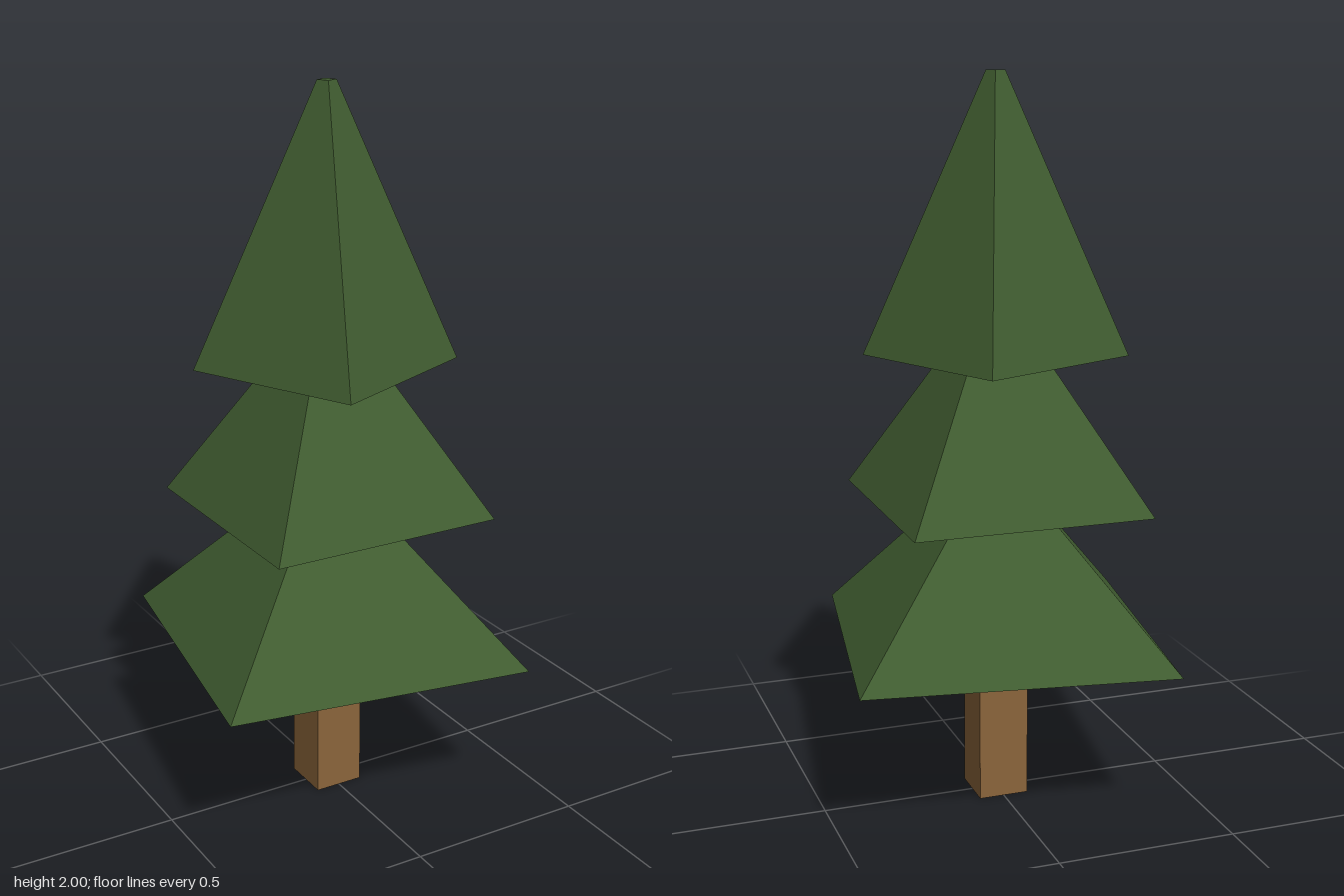
import * as THREE from 'three';

// Four corners of a horizontal square, counter-clockwise from above
function ring(y, radius, degrees) {
  return [0, 1, 2, 3].map((i) => {
    const a = THREE.MathUtils.degToRad(degrees + i * 90);
    return new THREE.Vector3(radius * Math.cos(a), y, -radius * Math.sin(a));
  });
}

// Faceted skin through a sequence of rings
function loft(rings, capStart, capEnd) {
  const points = [];
  for (let k = 0; k < rings.length - 1; k++) {
    const a = rings[k], b = rings[k + 1];
    for (let i = 0; i < 4; i++) {
      const j = (i + 1) % 4;
      points.push(a[i], a[j], b[j], a[i], b[j], b[i]);
    }
  }
  if (capStart) {
    const c = rings[0];
    points.push(c[0], c[2], c[1], c[0], c[3], c[2]);
  }
  if (capEnd) {
    const c = rings[rings.length - 1];
    points.push(c[0], c[1], c[2], c[0], c[2], c[3]);
  }
  const geometry = new THREE.BufferGeometry().setFromPoints(points);
  geometry.computeVertexNormals();
  return geometry;
}

export function createModel() {
  const tree = new THREE.Group();
  tree.name = 'pineTree';
  const foliage = new THREE.MeshStandardMaterial({ color: 0x405c30, flatShading: true });
  foliage.name = 'foliageGreen';
  const bark = new THREE.MeshStandardMaterial({ color: 0x8b653b, flatShading: true });
  bark.name = 'barkBrown';

  const add = (name, geometry, material) => {
    const mesh = new THREE.Mesh(geometry, material);
    mesh.name = name;
    tree.add(mesh);
  };

  // Square trunk, rising into the hollow of the lowest tier
  const trunkTop = ring(0.57, 0.099, 45);
  add('trunk', loft([ring(0, 0.099, 45), trunkTop], true, false), bark);

  // Each tier: hollow underside from the neck below, out to the rim, up to the next neck
  const tiers = [
    { name: 'lowerTier', angle: 35.8, rimY: 0.457, rim: 0.598, topY: 0.9, top: 0.095 },
    { name: 'middleTier', angle: 45, rimY: 0.85, rim: 0.467, topY: 1.34, top: 0.083 },
    { name: 'upperTier', angle: 69.5, rimY: 1.25, rim: 0.358, topY: 2, top: 0.0255 },
  ];
  let neck = trunkTop;
  tiers.forEach((t, i) => {
    const top = ring(t.topY, t.top, t.angle);
    const rings = [neck, ring(t.rimY, t.rim, t.angle), top];
    add(t.name, loft(rings, false, i === tiers.length - 1), foliage);
    neck = top;
  });
  return tree;
}
